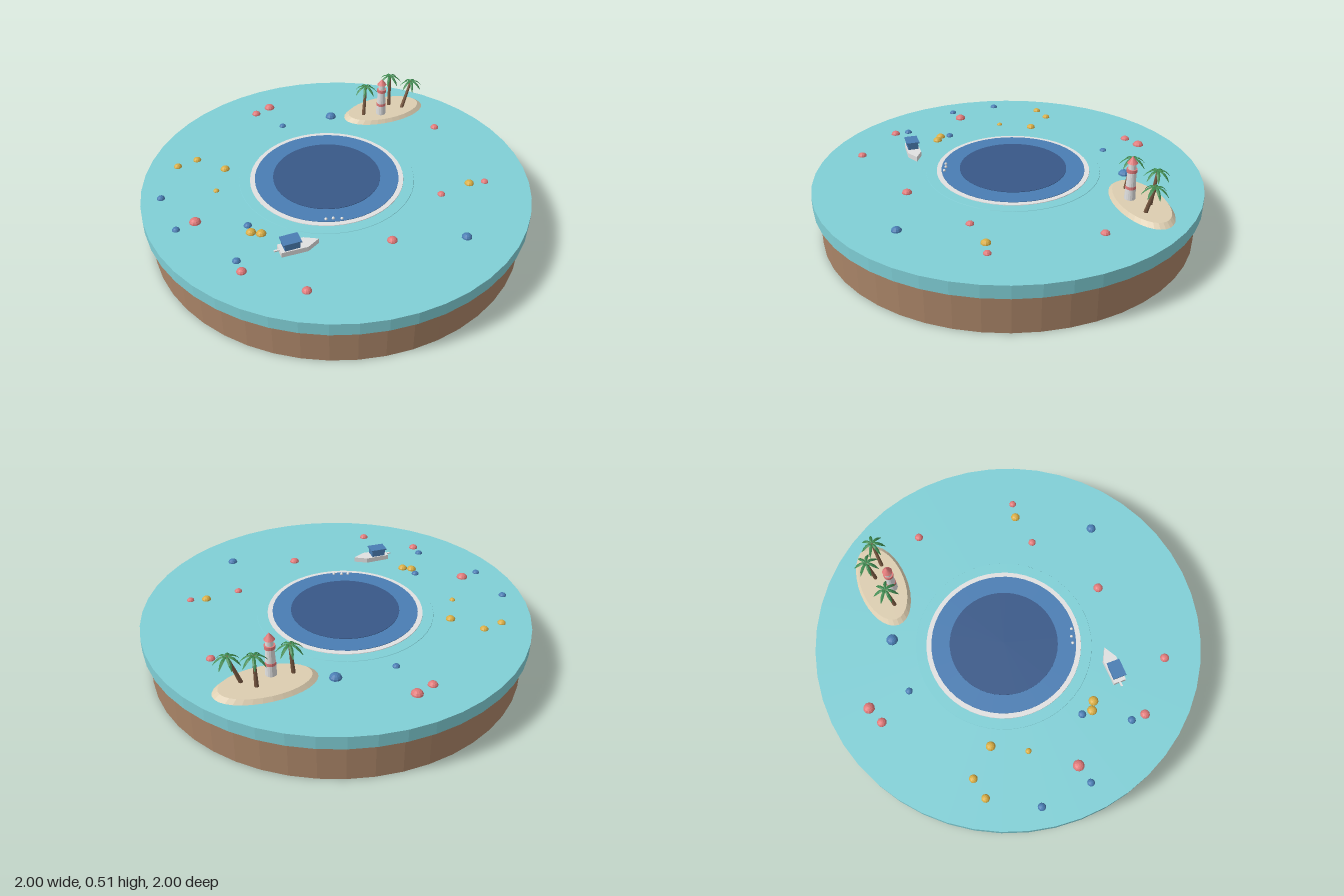
import * as THREE from 'three';

const mat = (name, color, opts = {}) => {
  const m = new THREE.MeshStandardMaterial({ color, ...opts });
  m.name = name;
  return m;
};

export function createModel() {
  const flat = { flatShading: true };
  const M = {
    water: mat('shallow water', 0x80cfd6, flat),
    rock: mat('rock', 0xa98467, flat),
    blue: mat('blue', 0x4a7db3, flat),
    deep: mat('deep blue', 0x385888, flat),
    white: mat('white', 0xe0e0e0, flat),
    sand: mat('sand', 0xdccdb0, flat),
    red: mat('coral red', 0xe07a7a, flat),
    yellow: mat('yellow', 0xd9ae45, flat),
    green: mat('palm green', 0x3f8a50, { flatShading: true, side: THREE.DoubleSide }),
    trunk: mat('palm trunk', 0x7d5c44, flat),
  };
  const root = new THREE.Group();
  const TOP = 0.267;

  const add = (parent, name, geo, material, x = 0, y = 0, z = 0) => {
    const mesh = new THREE.Mesh(geo, material);
    mesh.name = name;
    mesh.position.set(x, y, z);
    parent.add(mesh);
    return mesh;
  };
  // Cylinder placed by its bottom and top heights
  const drum = (parent, name, material, rTop, rBottom, y0, y1, x = 0, z = 0, sides = 48) =>
    add(parent, name, new THREE.CylinderGeometry(rTop, rBottom, y1 - y0, sides), material, x, (y0 + y1) / 2, z);

  // Rock base and water slab
  drum(root, 'rockBase', M.rock, 0.97, 0.97, 0, 0.2);
  drum(root, 'waterSlab', M.water, 1, 1, 0.2, TOP);

  // Sunken lagoon, as thin stacked discs
  const hole = new THREE.Group();
  hole.name = 'blueHole';
  hole.position.set(-0.02, 0, -0.05);
  root.add(hole);
  drum(hole, 'reefShelf', M.water, 0.455, 0.46, 0.26, 0.269);
  drum(hole, 'reefRing', M.white, 0.4, 0.403, 0.26, 0.272);
  drum(hole, 'lagoon', M.blue, 0.375, 0.375, 0.26, 0.2745);
  drum(hole, 'deepCentre', M.deep, 0.28, 0.28, 0.26, 0.277);

  // Small floats at the lagoon edge
  for (const [x, z] of [[-0.265, 0.21], [-0.235, 0.23], [-0.205, 0.26]])
    add(root, 'float', new THREE.SphereGeometry(0.008, 8, 6), M.white, x, 0.277, z);

  // Coral domes: x, z, radius
  const corals = {
    red: [[0.09, -0.78, 0.025], [0.19, -0.78, 0.03], [-0.735, -0.215, 0.03], [-0.78, 0.21, 0.025],
      [-0.645, 0.5, 0.024], [-0.135, 0.53, 0.026], [0.3, 0.46, 0.021], [0.745, 0.03, 0.023], [0.545, 0.545, 0.02]],
    yellow: [[-0.54, -0.655, 0.022], [-0.43, -0.635, 0.022], [-0.37, -0.465, 0.025], [-0.515, -0.345, 0.016],
      [-0.585, 0.03, 0.026], [-0.555, 0.07, 0.026], [0.475, 0.5, 0.025]],
    blue: [[-0.755, -0.485, 0.021], [0.12, -0.575, 0.019], [0.39, -0.46, 0.031], [-0.835, -0.23, 0.02],
      [-0.565, -0.02, 0.021], [-0.755, 0.14, 0.021], [0.14, 0.755, 0.026]],
  };
  const dome = new THREE.SphereGeometry(1, 10, 4, 0, Math.PI * 2, 0, Math.PI / 2);
  for (const [color, list] of Object.entries(corals))
    for (const [x, z, r] of list)
      add(root, color + 'Coral', dome, M[color], x, TOP - 0.002, z).scale.set(r, r * 0.85, r);

  // Sand island
  const island = drum(root, 'island', M.sand, 0.87, 1, 0, 1, 0, 0, 32);
  island.scale.set(0.251, 0.024, 0.131);
  island.position.set(0.66, 0.275, -0.295);
  island.rotation.y = -0.35;

  // Lighthouse
  const light = new THREE.Group();
  light.name = 'lighthouse';
  light.position.set(0.61, 0, -0.268);
  root.add(light);
  drum(light, 'tower', M.white, 0.021, 0.028, 0.28, 0.435, 0, 0, 16);
  drum(light, 'lowerBand', M.red, 0.0255, 0.0265, 0.343, 0.358, 0, 0, 16);
  drum(light, 'gallery', M.red, 0.026, 0.026, 0.43, 0.447, 0, 0, 16);
  drum(light, 'lantern', M.white, 0.019, 0.019, 0.447, 0.48, 0, 0, 16);
  drum(light, 'roof', M.red, 0, 0.026, 0.477, 0.512, 0, 0, 16);

  // Arched, ridged palm leaf pointing along +x
  const frond = new THREE.PlaneGeometry(0.065, 0.018, 4, 2).rotateX(-Math.PI / 2).translate(0.0325, 0, 0);
  const p = frond.attributes.position;
  for (let i = 0; i < p.count; i++) {
    const t = p.getX(i) / 0.065;
    const w = p.getZ(i) * (0.35 + 2.4 * t * (1 - t)) * (t > 0.9 ? 0.4 : 1);
    p.setXYZ(i, p.getX(i), 0.03 * t - 0.068 * t * t - Math.abs(w) * 0.5, w);
  }
  frond.computeVertexNormals();

  // Palms: base x, z, crown x, y, z
  for (const [bx, bz, cx, cy, cz] of [
    [0.525, -0.325, 0.55, 0.458, -0.337],
    [0.712, -0.3, 0.727, 0.468, -0.315],
    [0.745, -0.23, 0.803, 0.445, -0.217],
  ]) {
    const palm = new THREE.Group();
    palm.name = 'palm';
    root.add(palm);
    const base = new THREE.Vector3(bx, 0.275, bz), crown = new THREE.Vector3(cx, cy, cz);
    const dir = crown.clone().sub(base);
    const trunk = add(palm, 'trunk', new THREE.CylinderGeometry(0.007, 0.011, dir.length(), 7), M.trunk);
    trunk.position.copy(base).add(crown).multiplyScalar(0.5);
    trunk.quaternion.setFromUnitVectors(new THREE.Vector3(0, 1, 0), dir.normalize());
    for (let i = 0; i < 7; i++)
      add(palm, 'frond', frond, M.green, cx, cy, cz).rotation.y = (i / 7) * Math.PI * 2 + bx * 9;
  }

  // Boat, bow along its own +x
  const boat = new THREE.Group();
  boat.name = 'boat';
  boat.position.set(-0.5, 0, 0.265);
  boat.rotation.y = -0.38;
  root.add(boat);
  const outline = new THREE.Shape([[-0.085, -0.032], [0.045, -0.036], [0.11, 0], [0.045, 0.036], [-0.085, 0.032]]
    .map(([x, y]) => new THREE.Vector2(x, y)));
  const hull = new THREE.ExtrudeGeometry(outline, { depth: 0.029, bevelEnabled: false }).rotateX(-Math.PI / 2);
  add(boat, 'hull', hull, M.white, 0, 0.265, 0);
  add(boat, 'cabin', new THREE.BoxGeometry(0.075, 0.038, 0.055), M.blue, -0.028, 0.312, 0);
  add(boat, 'cabinRoof', new THREE.BoxGeometry(0.09, 0.007, 0.068), M.blue, -0.028, 0.333, 0);
  add(boat, 'sternPlatform', new THREE.BoxGeometry(0.03, 0.006, 0.01), M.white, -0.095, 0.288, 0);

  return root;
}
